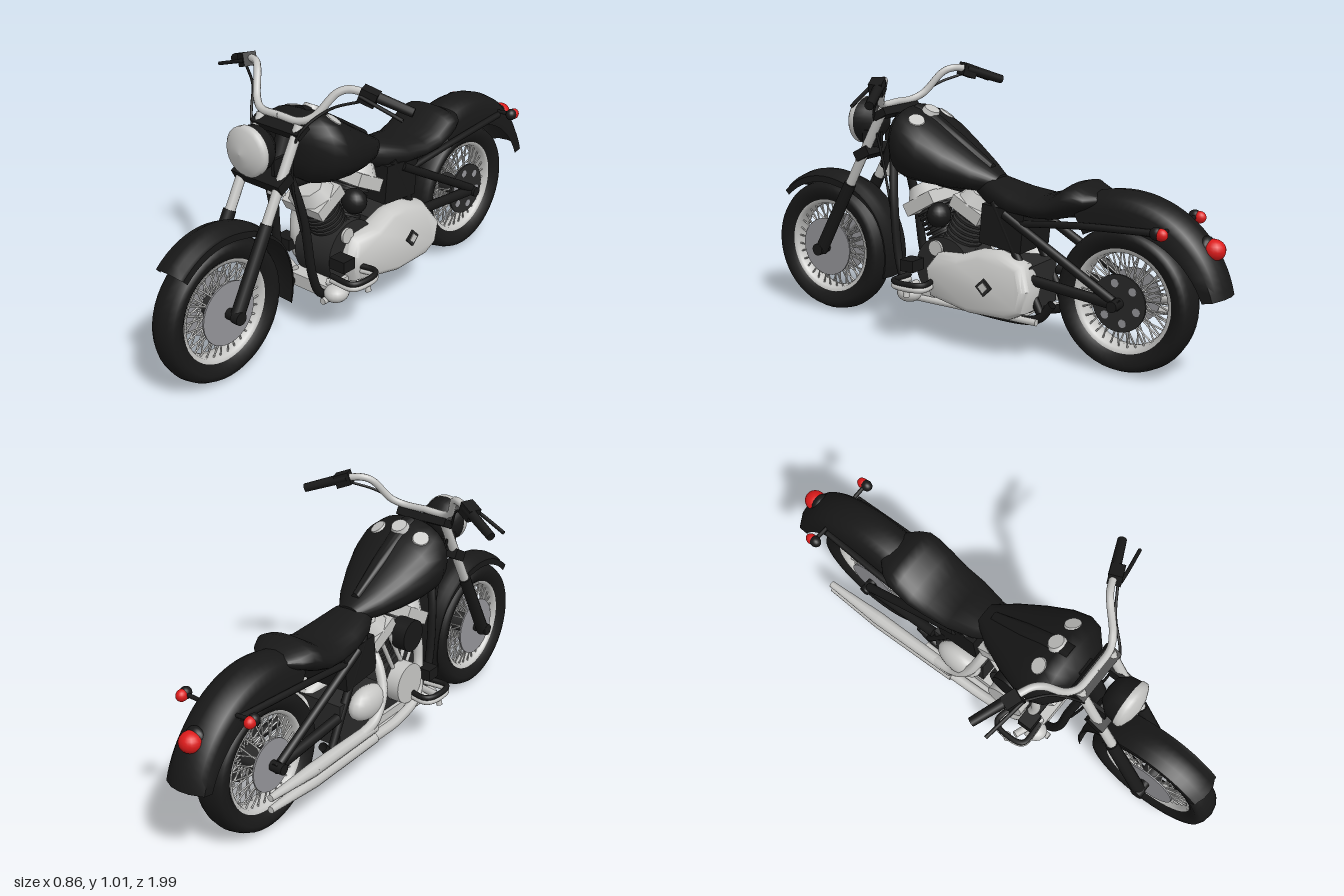
import * as THREE from 'three';
import { mergeVertices, mergeGeometries, toCreasedNormals } from 'three/addons/utils/BufferGeometryUtils.js';

const paint = (name, color, side = THREE.FrontSide) => {
  const m = new THREE.MeshStandardMaterial({ color, side });
  m.name = name;
  return m;
};
const V = (x, y, z) => new THREE.Vector3(x, y, z);
const UP = V(0, 1, 0);

export function createModel() {
  const black = paint('black paint', 0x181818, THREE.DoubleSide);
  const iron = paint('dark iron', 0x292929);
  const chrome = paint('chrome', 0xc6c6c4, THREE.DoubleSide);
  const steel = paint('brake steel', 0x949498);
  const red = paint('red lens', 0xdc1a1a);
  const root = new THREE.Group();
  root.name = 'motorcycle';

  const add = (name, geo, mat, pos = [0, 0, 0], rot = [0, 0, 0], parent = root) => {
    const m = new THREE.Mesh(geo, mat);
    m.name = name;
    m.position.set(...pos);
    m.rotation.set(...rot);
    parent.add(m);
    return m;
  };
  const box = (name, size, mat, pos, rot, parent) => add(name, new THREE.BoxGeometry(...size), mat, pos, rot, parent);
  const ball = (name, size, mat, pos) => add(name, new THREE.SphereGeometry(1, 18, 12), mat, pos).scale.set(...size);
  // disc or drum whose axis runs across the machine
  const drum = (name, r, w, mat, pos, parent) =>
    add(name, new THREE.CylinderGeometry(r, r, w, 28), mat, pos, [0, 0, Math.PI / 2], parent);
  const rodGeo = (a, b, r, r2 = r, n = 10) => {
    const d = b.clone().sub(a);
    const g = new THREE.CylinderGeometry(r2, r, d.length(), n);
    g.applyQuaternion(new THREE.Quaternion().setFromUnitVectors(UP, d.normalize()));
    return g.translate(...a.clone().add(b).multiplyScalar(0.5).toArray());
  };
  const rod = (name, a, b, r, mat, r2) => add(name, rodGeo(V(...a), V(...b), r, r2), mat);
  const tube = (name, pts, r, mat) => add(name,
    new THREE.TubeGeometry(new THREE.CatmullRomCurve3(pts.map(p => V(...p)), false, 'centripetal'), pts.length * 7, r, 9), mat);

  // surface through rows of points
  const skin = (rows) => {
    const n = rows[0].length, idx = [];
    for (let i = 0; i < rows.length - 1; i++) for (let j = 0; j < n - 1; j++) {
      const a = i * n + j, c = a + n;
      idx.push(a, c, a + 1, a + 1, c, c + 1);
    }
    const g = new THREE.BufferGeometry().setFromPoints(rows.flat());
    g.setIndex(idx);
    return toCreasedNormals(mergeVertices(g, 1e-4), 0.9);
  };
  // closed body from oval sections [z, top, bottom, half width], front to back
  const body = (sections) => {
    const ring = ([z, t, b, w], k) => Array.from({ length: 25 }, (_, j) => {
      const a = j / 24 * Math.PI * 2, c = Math.cos(a), s = Math.sin(a);
      return V(Math.sign(c) * Math.abs(c) ** 0.85 * w * k, (t + b) / 2 + Math.sign(s) * Math.abs(s) ** 0.9 * (t - b) / 2 * k, z);
    });
    return skin([ring(sections[0], 0), ...sections.map(s => ring(s, 1)), ring(sections.at(-1), 0)]);
  };
  // mudguard: arched section swept round an axle
  const guard = (cy, cz, R, w, from, to, inner) => {
    const rows = [];
    for (let i = 0; i <= 24; i++) {
      const t = i / 24, a = (from + (to - from) * t) * Math.PI / 180, rin = inner(t), drop = Math.min(0.022, (R - rin) * 0.4);
      const sec = [[-1, rin], [-1, rin + (R - rin) * 0.55], [-0.8, R - drop], [-0.45, R - drop / 4], [0, R],
        [0.45, R - drop / 4], [0.8, R - drop], [1, rin + (R - rin) * 0.55], [1, rin]];
      rows.push(sec.map(([x, r]) => V(x * w, cy + r * Math.sin(a), cz + r * Math.cos(a))));
    }
    return skin(rows);
  };

  // wheels
  const wheel = (name, z, R, w) => {
    const g = new THREE.Group();
    g.name = name;
    g.position.set(0, R, z);
    root.add(g);
    const lathe = (part, pts, mat) => add(part,
      new THREE.LatheGeometry(pts.map(([r, x]) => new THREE.Vector2(r, x * w)), 48), mat, [0, 0, 0], [0, 0, Math.PI / 2], g);
    lathe('tyre', [[0.188, -0.6], [0.205, -0.85], [0.23, -1], [0.25, -0.92], [R - 0.006, -0.55], [R, 0],
      [R - 0.006, 0.55], [0.25, 0.92], [0.23, 1], [0.205, 0.85], [0.188, 0.6]], black);
    lathe('rim', [[0.191, -0.68], [0.176, -0.6], [0.168, 0], [0.176, 0.6], [0.191, 0.68]], chrome);
    const spokes = [];
    for (let i = 0; i < 64; i++) {
      const a = i / 64 * Math.PI * 2, b = a + (i % 4 < 2 ? 0.35 : -0.35), s = i % 2 ? 1 : -1;
      spokes.push(rodGeo(V(s * w * 0.75, 0.04 * Math.sin(b), 0.04 * Math.cos(b)),
        V(s * w * 0.35, 0.175 * Math.sin(a), 0.175 * Math.cos(a)), 0.0034, 0.0034, 5));
    }
    add('spokes', mergeGeometries(spokes), chrome, [0, 0, 0], [0, 0, 0], g);
    drum('hub', 0.04, w * 1.5, iron, [0, 0, 0], g);
    return g;
  };
  const front = wheel('frontWheel', 0.73, 0.268, 0.056);
  const rear = wheel('rearWheel', -0.607, 0.266, 0.062);
  for (const s of [1, -1]) {
    drum('frontBrakeDisc', 0.118, 0.006, steel, [s * 0.052, 0, 0], front);
    drum('frontAxleCap', 0.024, 0.03, black, [s * 0.1, 0, 0], front);
  }
  drum('frontAxle', 0.02, 0.2, black, [0, 0, 0], front);
  drum('rearSprocket', 0.105, 0.008, iron, [0.062, 0, 0], rear);
  // openings in the sprocket
  for (let i = 0; i < 6; i++) {
    const a = i * Math.PI / 3 + 0.3;
    drum('sprocketOpening', 0.015, 0.01, steel, [0.062, 0.073 * Math.sin(a), 0.073 * Math.cos(a)], rear);
  }
  drum('rearBrakeDisc', 0.1, 0.006, steel, [-0.064, 0, 0], rear);
  drum('rearAxle', 0.02, 0.24, black, [0, 0, 0], rear);

  // mudguards
  add('frontMudguard', guard(0.268, 0.73, 0.314, 0.066, 46, 196, t => t < 0.4 ? 0.268 : Math.min(0.302, 0.268 + (t - 0.4) * 0.12)), black);
  add('rearMudguard', guard(0.255, -0.6, 0.405, 0.085, 62, 168, t => 0.275 + t * t * 0.06), black);

  // tank, console, caps and seat
  add('fuelTank', body([[0.375, 0.81, 0.68, 0.06], [0.355, 0.855, 0.635, 0.12], [0.31, 0.878, 0.605, 0.172], [0.26, 0.865, 0.595, 0.189],
    [0.19, 0.825, 0.59, 0.18], [0.1, 0.765, 0.585, 0.148], [0, 0.70, 0.585, 0.10], [-0.08, 0.65, 0.595, 0.045]]), black);
  add('tankConsole', body([[0.3, 0.883, 0.84, 0.03], [0.25, 0.87, 0.8, 0.036], [0.1, 0.778, 0.72, 0.03], [-0.04, 0.688, 0.62, 0.02]]), black);
  for (const [x, y] of [[-0.095, 0.831], [0, 0.859], [0.095, 0.831]])
    add('tankCap', new THREE.CylinderGeometry(0.03, 0.038, 0.022, 16), chrome, [x, y, 0.24], [-0.48, 0, -x * 4]);
  add('seat', body([[0.0, 0.645, 0.56, 0.05], [-0.07, 0.645, 0.53, 0.09], [-0.17, 0.617, 0.52, 0.115], [-0.27, 0.602, 0.52, 0.126],
    [-0.34, 0.622, 0.525, 0.135], [-0.40, 0.662, 0.54, 0.135], [-0.44, 0.672, 0.56, 0.13], [-0.48, 0.65, 0.58, 0.11], [-0.52, 0.635, 0.6, 0.07]]), black);

  // fork, headlamp and handlebar
  for (const s of [1, -1]) {
    rod('forkLeg', [s * 0.09, 0.26, 0.73], [s * 0.09, 0.555, 0.57], 0.026, black, 0.024);
    rod('forkTube', [s * 0.088, 0.54, 0.578], [s * 0.088, 0.865, 0.40], 0.019, chrome);
    tube('handlebar', [[0, 0.88, 0.405], [s * 0.09, 0.88, 0.40], [s * 0.135, 0.902, 0.375], [s * 0.185, 0.98, 0.32],
      [s * 0.215, 0.995, 0.295], [s * 0.28, 0.988, 0.265]], 0.014, chrome);
    rod('grip', [s * 0.27, 0.99, 0.268], [s * 0.42, 0.935, 0.2], 0.02, black, 0.017);
    box('switchHousing', [0.06, 0.05, 0.05], black, [s * 0.285, 0.98, 0.27], [0, s * 0.4, -s * 0.35]);
    tube('lever', [[s * 0.27, 0.985, 0.30], [s * 0.33, 0.965, 0.29], [s * 0.43, 0.93, 0.27]], 0.007, black);
    tube('controlCable', [[s * 0.27, 0.965, 0.29], [s * 0.18, 0.93, 0.35], [s * 0.11, 0.84, 0.43], [s * 0.07, 0.65, 0.42], [s * 0.07, 0.45, 0.38]], 0.005, black);
    box('headlampBracket', [0.014, 0.06, 0.09], black, [s * 0.07, 0.74, 0.47]);
  }
  box('upperYoke', [0.22, 0.03, 0.06], black, [0, 0.845, 0.405], [0.5, 0, 0]);
  box('lowerYoke', [0.225, 0.04, 0.07], black, [0, 0.685, 0.495], [0.5, 0, 0]);
  rod('steeringHead', [0, 0.62, 0.45], [0, 0.84, 0.36], 0.035, black);
  box('hornPlate', [0.06, 0.06, 0.03], chrome, [0, 0.62, 0.43]);
  const lampPart = (name, pts, mat) => add(name,
    new THREE.LatheGeometry(pts.map(p => new THREE.Vector2(...p)), 28), mat, [0, 0.797, 0.535], [Math.PI / 2, 0, 0]);
  lampPart('headlampShell', [[0, -0.07], [0.05, -0.06], [0.08, -0.025], [0.089, 0.03]], black);
  lampPart('headlampLens', [[0.09, 0.015], [0.091, 0.035], [0.08, 0.046], [0.045, 0.06], [0, 0.067]], chrome);

  // frame
  for (const s of [1, -1]) {
    tube('frameCradle', [[s * 0.03, 0.68, 0.40], [s * 0.07, 0.5, 0.37], [s * 0.08, 0.25, 0.335], [s * 0.08, 0.165, 0.29],
      [s * 0.08, 0.15, 0.1], [s * 0.08, 0.15, -0.28], [s * 0.085, 0.22, -0.35]], 0.017, black);
    rod('lowerRail', [s * 0.11, 0.155, 0.32], [s * 0.11, 0.15, -0.3], 0.013, chrome);
    rod('swingArm', [s * 0.09, 0.3, -0.27], [s * 0.09, 0.265, -0.62], 0.02, black);
    rod('rearStay', [s * 0.095, 0.53, -0.15], [s * 0.095, 0.28, -0.6], 0.017, black);
    rod('seatTube', [s * 0.085, 0.57, -0.1], [s * 0.085, 0.18, -0.3], 0.016, black);
    tube('mudguardStrut', [[s * 0.09, 0.5, -0.2], [s * 0.1, 0.53, -0.45], [s * 0.09, 0.545, -0.78]], 0.013, black);
    rod('indicatorStem', [s * 0.08, 0.555, -0.79], [s * 0.145, 0.56, -0.79], 0.008, black);
    ball('indicatorHousing', [0.021, 0.023, 0.024], black, [s * 0.15, 0.56, -0.785]);
    ball('indicatorLens', [0.02, 0.022, 0.024], red, [s * 0.15, 0.558, -0.803]);
    // open foot pegs with a dark rubber rail on top
    rod('pegArm', [s * 0.08, 0.2, 0.26], [s * 0.2, 0.215, 0.22], 0.014, chrome);
    const loop = [[0.11, 0.27], [0.205, 0.272], [0.222, 0.25], [0.222, 0.16], [0.2, 0.135], [0.11, 0.15]];
    tube('footPegFrame', loop.map(([x, z]) => [s * x, 0.222, z]), 0.011, chrome);
    tube('footPegRail', loop.map(([x, z]) => [s * x, 0.24, z]), 0.011, black);
    rod('footPegTip', [s * 0.218, 0.225, 0.2], [s * 0.226, 0.19, 0.2], 0.012, chrome);
    ball('crankcaseFoot', [0.045, 0.034, 0.05], chrome, [s * 0.125, 0.172, 0.26]);
    box('controlBlock', [0.07, 0.045, 0.06], black, [s * 0.135, 0.29, 0.24]);
  }
  box('oilTank', [0.2, 0.15, 0.18], black, [0, 0.475, -0.14], [-0.1, 0, 0]);
  rod('backbone', [0, 0.62, 0.36], [0, 0.56, -0.2], 0.03, black);

  // V-twin engine
  for (const [tilt, name] of [[0.52, 'frontCylinder'], [-0.48, 'rearCylinder']]) {
    const g = new THREE.Group();
    g.name = name;
    g.position.set(0, 0.32, 0.13);
    g.rotation.x = tilt;
    root.add(g);
    add('barrel', new THREE.CylinderGeometry(0.055, 0.055, 0.2, 18), iron, [0, 0.1, 0], [0, 0, 0], g);
    for (let i = 0; i < 7; i++) add('coolingFin', new THREE.CylinderGeometry(0.074, 0.074, 0.009, 20), iron, [0, 0.07 + i * 0.02, 0], [0, 0, 0], g);
    box('cylinderHead', [0.18, 0.05, 0.14], chrome, [0, 0.225, 0], [0, 0, 0], g);
    add('rockerCover', new THREE.CylinderGeometry(0.058, 0.084, 0.05, 8), chrome, [0, 0.27, 0], [0, 0, 0], g).scale.x = 1.12;
    for (const z of [-0.025, 0.025]) add('pushrodTube', new THREE.CylinderGeometry(0.009, 0.009, 0.2, 8), chrome, [-0.085, 0.1, z], [0, 0, 0], g);
  }
  drum('crankcase', 0.125, 0.17, iron, [0, 0.275, 0.13]);
  drum('crankcaseCover', 0.03, 0.02, chrome, [0.085, 0.355, 0.16]);
  box('gearbox', [0.19, 0.17, 0.24], iron, [0, 0.26, -0.14]);
  box('sump', [0.2, 0.05, 0.5], chrome, [0, 0.168, 0.03]);
  drum('timingCover', 0.08, 0.06, chrome, [-0.11, 0.29, 0.12]);
  ball('gearboxCover', [0.05, 0.065, 0.1], chrome, [-0.115, 0.31, -0.12]);
  drum('airCleaner', 0.062, 0.07, black, [-0.11, 0.49, 0.13]);
  ball('horn', [0.05, 0.048, 0.045], black, [0.102, 0.49, 0.135]);

  // primary drive cover: rounded outline in (-z, y), sides sloping in toward the top and front
  const outline = new THREE.Shape([[-0.14, 0.2], [-0.155, 0.28], [-0.13, 0.318], [-0.03, 0.325], [0.06, 0.358], [0.13, 0.362],
    [0.23, 0.335], [0.265, 0.27], [0.25, 0.205], [0.2, 0.18], [0.04, 0.178]].map(p => new THREE.Vector2(...p)));
  const cover = new THREE.ExtrudeGeometry(outline, { depth: 0.045, bevelThickness: 0.045, bevelSize: 0.028, bevelSegments: 4 });
  cover.rotateY(Math.PI / 2);
  const cp = cover.attributes.position;
  for (let i = 0; i < cp.count; i++) if (cp.getX(i) > 0.02)
    cp.setX(i, cp.getX(i) - Math.max(0, cp.getY(i) - 0.28) * 0.5 - Math.max(0, cp.getZ(i) + 0.02) * 0.18);
  add('primaryCover', toCreasedNormals(cover, 0.8), chrome, [0.088, 0, 0]);
  for (const [r, mat, x] of [[0.034, iron, 0.177], [0.02, chrome, 0.18]])
    add('inspectionCover', new THREE.CylinderGeometry(r, r, 0.008, 4), mat, [x, 0.268, -0.115], [0, 0, Math.PI / 2]);

  // exhaust on the right side
  tube('frontHeader', [[-0.06, 0.5, 0.23], [-0.09, 0.43, 0.235], [-0.1, 0.33, 0.235], [-0.13, 0.21, 0.18], [-0.14, 0.17, 0.05], [-0.15, 0.175, -0.15]], 0.02, chrome);
  tube('rearHeader', [[-0.06, 0.47, -0.02], [-0.1, 0.42, -0.03], [-0.14, 0.33, -0.06], [-0.155, 0.25, -0.13], [-0.155, 0.225, -0.22]], 0.02, chrome);
  for (const y of [0.175, 0.222]) {
    rod('silencer', [-0.152, y, -0.13], [-0.162, y + 0.008, -0.5], 0.023, chrome, 0.026);
    rod('silencerTip', [-0.162, y + 0.008, -0.5], [-0.168, y + 0.018, -0.74], 0.026, chrome, 0.013);
  }

  // tail lamp
  ball('tailLampBase', [0.042, 0.042, 0.03], black, [0, 0.495, -0.9]);
  ball('tailLamp', [0.041, 0.038, 0.042], red, [0, 0.492, -0.926]);
  return root;
}
